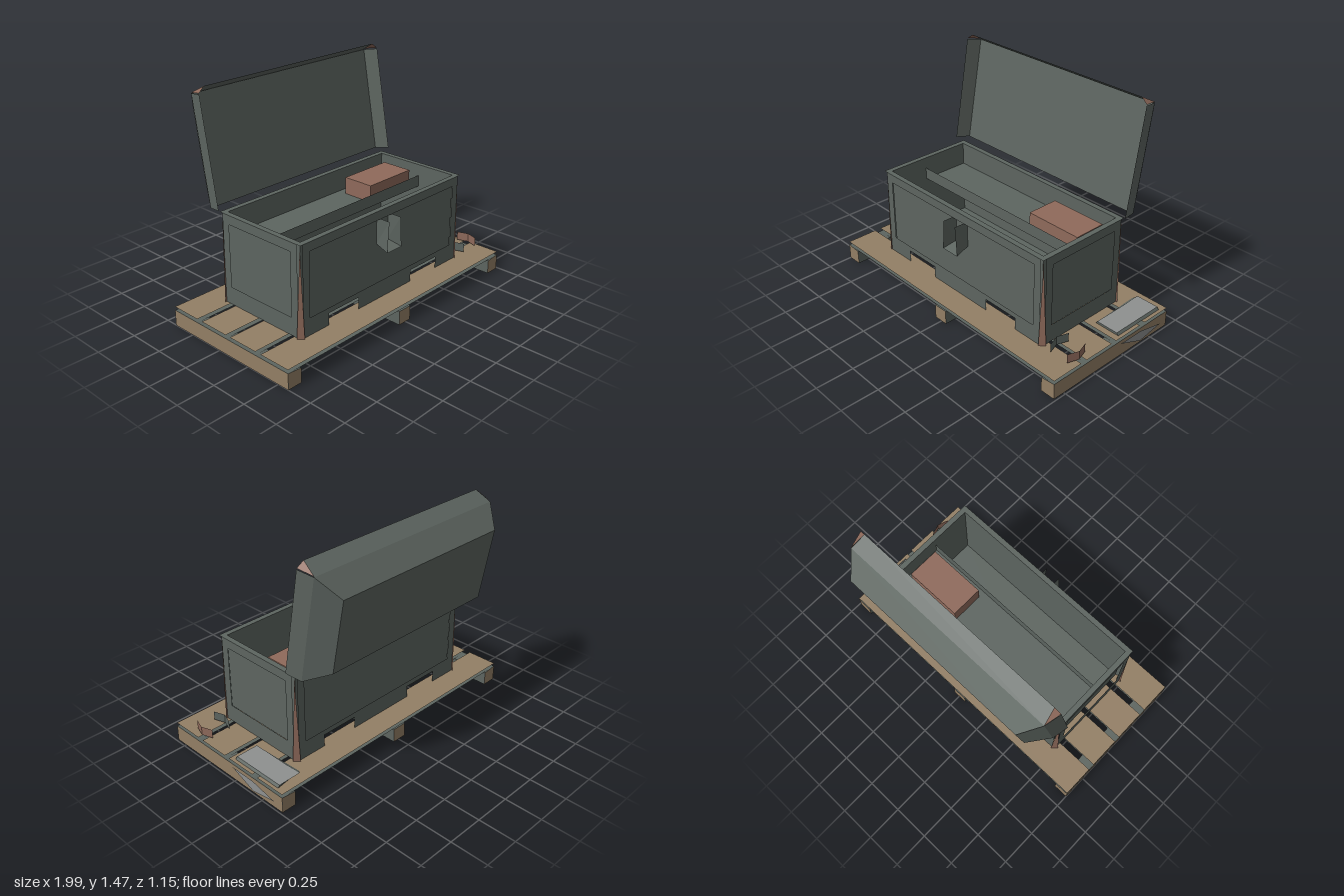
import * as THREE from 'three';

const mat = (name, color) => {
  const m = new THREE.MeshStandardMaterial({ color, side: THREE.DoubleSide });
  m.name = name;
  return m;
};

export function createModel() {
  const steel = mat('grey green steel', 0x5d6560);
  const wood = mat('pallet wood', 0x937f65);
  const rust = mat('rusty brown', 0x8f6a5b);
  const tin = mat('light grey tin', 0x8e9190);

  const root = new THREE.Group();
  root.name = 'openChestOnPallet';
  const add = (parent, name, geo, material, x = 0, y = 0, z = 0) => {
    const m = new THREE.Mesh(geo, material);
    m.name = name;
    m.position.set(x, y, z);
    parent.add(m);
    return m;
  };
  const group = (name, x, y, z) => {
    const g = new THREE.Group();
    g.name = name;
    g.position.set(x, y, z);
    root.add(g);
    return g;
  };
  // Flat faceted sheet metal from convex polygons
  const facets = (...polys) => {
    const pos = [];
    for (const p of polys)
      for (let i = 1; i < p.length - 1; i++) pos.push(...p[0], ...p[i], ...p[i + 1]);
    const g = new THREE.BufferGeometry();
    g.setAttribute('position', new THREE.Float32BufferAttribute(pos, 3));
    g.computeVertexNormals();
    return g;
  };
  const outline = (pts, Kind = THREE.Shape) => new Kind(pts.map(([x, y]) => new THREE.Vector2(x, y)));
  const rect = (x0, y0, x1, y1) => [[x0, y0], [x1, y0], [x1, y1], [x0, y1]];
  const sheet = (pts, hole) => {
    const s = outline(pts);
    if (hole) s.holes.push(outline(hole, THREE.Path));
    return new THREE.ShapeGeometry(s);
  };
  const level = (x0, z0, x1, z1, y) =>
    facets([[x0, y, z0], [x0, y, z1], [x1, y, z1], [x1, y, z0]]);

  // Pallet: three rails under four open-edged boards
  const pallet = group('pallet', -0.0075, 0, 0);
  const rails = [[-0.9925, -0.8925, 0.105, 0.095], [-0.05, 0.05, 0.095, 0.095], [0.8925, 0.9925, 0.095, 0.105]];
  for (const [x0, x1, yl, yr] of rails) {
    const geo = new THREE.ExtrudeGeometry(outline([[x0, 0], [x1, 0], [x1, yr], [x0, yl]]),
      { depth: 0.995, bevelEnabled: false });
    add(pallet, 'rail', geo, [wood, steel], 0, 0, -0.415);
  }
  for (const s of [-1, 1])
    add(pallet, 'railOuterFace', facets([[s * 0.9935, 0, 0.58], [s * 0.9935, 0, -0.415],
      [s * 0.9935, 0.105, -0.415], [s * 0.9935, 0.105, 0.58]]), wood);
  for (const [z0, z1] of [[-0.415, -0.2], [-0.155, 0.06], [0.1, 0.315], [0.36, 0.58]]) {
    add(pallet, 'boardTop', level(-0.9925, z0, 0.9925, z1, 0.129), wood);
    add(pallet, 'boardUnderside', level(-0.9925, z0, 0.9925, z1, 0.105), steel);
  }

  // Chest shell: framed sheets with open corners
  const chest = group('chest', -0.0075, 0, 0.08);
  const frontPts = [[-0.712, 0.13], [-0.505, 0.13], [-0.505, 0.21], [-0.248, 0.21], [-0.248, 0.13],
    [0.248, 0.13], [0.248, 0.21], [0.505, 0.21], [0.505, 0.13], [0.712, 0.13], [0.712, 0.725], [-0.712, 0.725]];
  for (const s of [-1, 1]) {
    add(chest, s > 0 ? 'frontFrame' : 'backFrame',
      sheet(frontPts, rect(-0.658, 0.245, 0.658, 0.665)), steel, 0, 0, s * 0.337);
    add(chest, 'sideFrame', sheet(rect(-0.315, 0.13, 0.315, 0.725), rect(-0.26, 0.248, 0.26, 0.665)),
      steel, s * 0.7325).rotation.y = Math.PI / 2;
    // Inner walls double as the recessed panels
    add(chest, 'longInnerWall', sheet(rect(-0.6975, 0.21, 0.6975, 0.725)), steel, 0, 0, s * 0.305);
    add(chest, 'shortInnerWall', sheet(rect(-0.305, 0.21, 0.305, 0.725)), steel, s * 0.6975)
      .rotation.y = Math.PI / 2;
    // Tapered rusty corner slivers
    for (const t of [-1, 1]) {
      const a = [s * 0.712, 0.13, t * 0.347], b = [s * 0.745, 0.13, t * 0.315];
      const c = [s * 0.712, 0.13, t * 0.315], top = [s * 0.724, 0.7, t * 0.328];
      add(chest, 'cornerSliver', facets([a, b, top], [b, c, top], [c, a, top], [a, c, b]), rust);
    }
  }
  add(chest, 'rim', sheet(rect(-0.7325, -0.34, 0.7325, 0.34), rect(-0.6975, -0.305, 0.6975, 0.305)),
    steel, 0, 0.725).rotation.x = -Math.PI / 2;
  add(chest, 'floor', level(-0.6975, -0.305, 0.6975, 0.305, 0.21), steel);

  // Inner tray and the box lying in it
  add(chest, 'trayFloor', level(-0.6975, -0.305, 0.6975, 0.027, 0.57), steel);
  add(chest, 'trayFront', sheet(rect(-0.6975, 0.57, 0.6975, 0.65)), steel, 0, 0, 0.027);
  add(chest, 'trayBox', new THREE.BoxGeometry(0.395, 0.115, 0.22), rust, 0.455, 0.63, -0.13);

  // U-shaped latch bracket
  const latch = group('latch', -0.009, 0, 0);
  for (const s of [-1, 1])
    add(latch, 'latchCheek', facets([[s * 0.052, 0.49, 0.385], [s * 0.066, 0.465, 0.485],
      [s * 0.052, 0.665, 0.485], [s * 0.052, 0.665, 0.385]]), steel);
  add(latch, 'latchBottom', facets([[-0.052, 0.49, 0.385], [0.052, 0.49, 0.385],
    [0.066, 0.465, 0.485], [-0.066, 0.465, 0.485]]), steel);

  // Lid: hipped hull with flared lips, leaning back
  const lid = group('lid', -0.0075, 0.75, -0.225);
  lid.rotation.x = -0.174;
  const ring = (h, y0, y1, z) => [[-h, y0, z], [h, y0, z], [h, y1, z], [-h, y1, z]];
  const base = ring(0.7425, 0, 0.695, -0.107), crown = ring(0.6475, 0.099, 0.592, -0.245);
  const slopes = base.map((p, i) => [p, base[(i + 1) % 4], crown[(i + 1) % 4], crown[i]]);
  add(lid, 'lidHull', facets(crown, ...slopes), steel);
  add(lid, 'lidLining', facets(ring(0.7425, 0, 0.695, -0.1)), steel);
  add(lid, 'lidTopLip', facets([[-0.7425, 0.695, -0.107], [0.7425, 0.695, -0.107],
    [0.7225, 0.736, 0], [-0.7225, 0.736, 0]]), steel);
  for (const s of [-1, 1]) {
    add(lid, 'lidSideLip', facets([[s * 0.7425, 0, -0.107], [s * 0.7425, 0.695, -0.107],
      [s * 0.7675, 0.695, 0], [s * 0.7675, 0, 0]]), steel);
    add(lid, 'lidCornerFlap', facets([[s * 0.7225, 0.736, 0], [s * 0.7425, 0.7, -0.107],
      [s * 0.7675, 0.702, 0]]), rust);
  }

  // Loose scraps on the pallet
  const scraps = group('scraps', 0, 0, 0);
  const high = [[0.8, 0.148, -0.36], [0.8, 0.148, 0.02], [0.953, 0.148, 0.02], [0.953, 0.148, -0.36]];
  const low = [[0.775, 0.133, -0.33], [0.79, 0.133, 0.02], [0.965, 0.133, 0.02], [0.965, 0.133, -0.36]];
  add(scraps, 'tinPlate', facets(high), tin);
  add(scraps, 'tinPlateEdge',
    facets(...high.map((p, i) => [p, low[i], low[(i + 1) % 4], high[(i + 1) % 4]])), steel);
  for (const [x, bend, m] of [[0.805, -0.025, steel], [0.935, 0.025, rust]]) {
    const fold = (z) => [[x, 0.14, z], [x + bend, 0.14, 0.352], [x + bend, 0.2, 0.352], [x, 0.2, z]];
    add(scraps, 'foldedScrap', facets(fold(0.428), fold(0.277)), m);
  }
  add(scraps, 'tinDiamond', facets([[0.992, 0.09, 0.022], [0.992, 0.015, -0.165],
    [0.992, 0.048, -0.35], [0.992, 0.088, -0.165]]), tin);

  return root;
}
